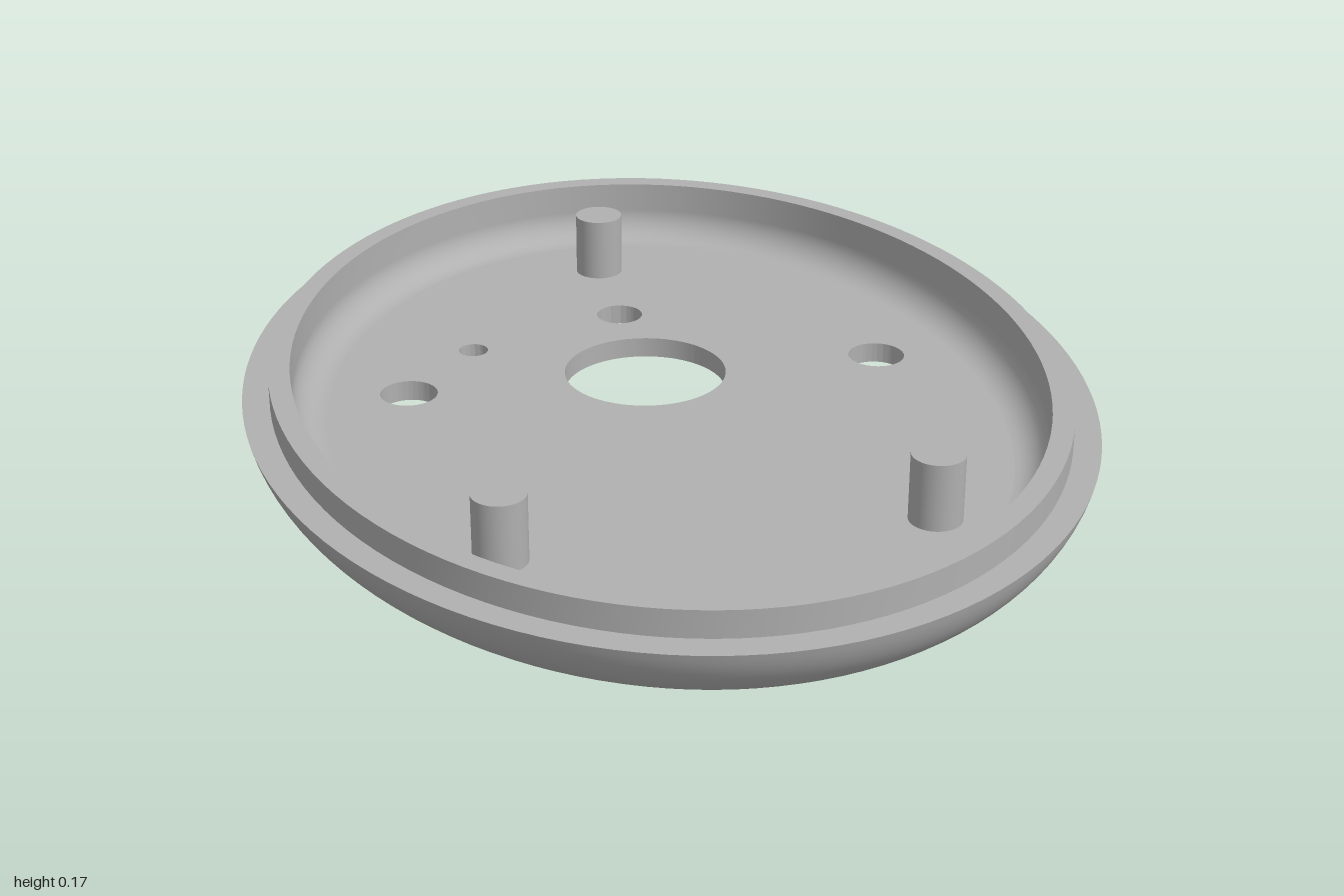
import * as THREE from 'three';
import { mergeGeometries, toCreasedNormals } from 'three/addons/utils/BufferGeometryUtils.js';

const RX = 0.78, RZ = 1, SEGMENTS = 128;
const FLOOR = 0.04, FLOOR_INSET = 0.15;

// Smooth elliptical band; profile points are [inset from the rim, height]
function band(profile) {
  const positions = [], indices = [];
  for (const [inset, y] of profile) {
    for (let j = 0; j < SEGMENTS; j++) {
      const t = (j / SEGMENTS) * Math.PI * 2;
      positions.push((RX - inset) * Math.cos(t), y, (RZ - inset) * Math.sin(t));
    }
  }
  for (let i = 0; i < profile.length - 1; i++) {
    for (let j = 0; j < SEGMENTS; j++) {
      const k = (j + 1) % SEGMENTS;
      const a = i * SEGMENTS + j, b = a + SEGMENTS;
      const c = i * SEGMENTS + k, d = c + SEGMENTS;
      indices.push(a, b, c, c, b, d);
    }
  }
  const geometry = new THREE.BufferGeometry();
  geometry.setAttribute('position', new THREE.Float32BufferAttribute(positions, 3));
  geometry.setIndex(indices);
  geometry.computeVertexNormals();
  return geometry;
}

export function createModel() {
  const model = new THREE.Group();
  model.name = 'ovalCover';
  const grey = new THREE.MeshStandardMaterial({ color: 0xb0b0b0 });
  grey.name = 'plain grey';

  const add = (name, geometry) => {
    const mesh = new THREE.Mesh(geometry, grey);
    mesh.name = name;
    model.add(mesh);
    return mesh;
  };

  // Rounded outer flank and the fillet inside, as curves in (inset, height)
  const flank = new THREE.QuadraticBezierCurve(
    new THREE.Vector2(0.08, 0), new THREE.Vector2(0.017, 0.0385), new THREE.Vector2(0, 0.11)
  ).getPoints(12).map(p => [p.x, p.y]);
  const fillet = [];
  for (let i = 0; i <= 10; i++) {
    const t = (i / 10) * Math.PI / 2;
    fillet.push([FLOOR_INSET - 0.06 * Math.cos(t), FLOOR + 0.06 * (1 - Math.sin(t))]);
  }

  // Rim: each band is smooth, with sharp edges between bands
  add('rim', mergeGeometries([
    band([[FLOOR_INSET, 0], [0.08, 0]]),
    band(flank),
    band([[0, 0.11], [0.05, 0.11]]),
    band([[0.05, 0.11], [0.05, 0.16]]),
    band([[0.05, 0.16], [0.09, 0.16]]),
    band([[0.09, 0.16], ...fillet]),
  ]));

  // Floor plate with through holes: x, z, radius
  const plate = new THREE.Shape();
  plate.absellipse(0, 0, RX - FLOOR_INSET, RZ - FLOOR_INSET, 0, Math.PI * 2, false, 0);
  const holes = [
    [0, -0.187, 0.157],
    [0, -0.47, 0.046],
    [-0.317, -0.35, 0.029],
    [-0.463, -0.174, 0.055],
    [0.463, -0.174, 0.055],
  ];
  for (const [x, z, r] of holes) {
    plate.holes.push(new THREE.Path().absarc(x, -z, r, 0, Math.PI * 2, true));
  }
  const floor = new THREE.ExtrudeGeometry(plate, {
    depth: FLOOR, bevelEnabled: false, curveSegments: SEGMENTS / 2,
  });
  floor.rotateX(-Math.PI / 2);
  add('floor', toCreasedNormals(floor, 0.6));

  // Three locating pins standing on the floor
  const pinTop = 0.166, pinBase = 0.03;
  const pin = new THREE.CylinderGeometry(0.048, 0.048, pinTop - pinBase, 40);
  for (const [name, x, z] of [
    ['backPin', 0, -0.715], ['leftPin', 0.378, 0.508], ['rightPin', -0.378, 0.508],
  ]) {
    add(name, pin).position.set(x, (pinTop + pinBase) / 2, z);
  }

  return model;
}
